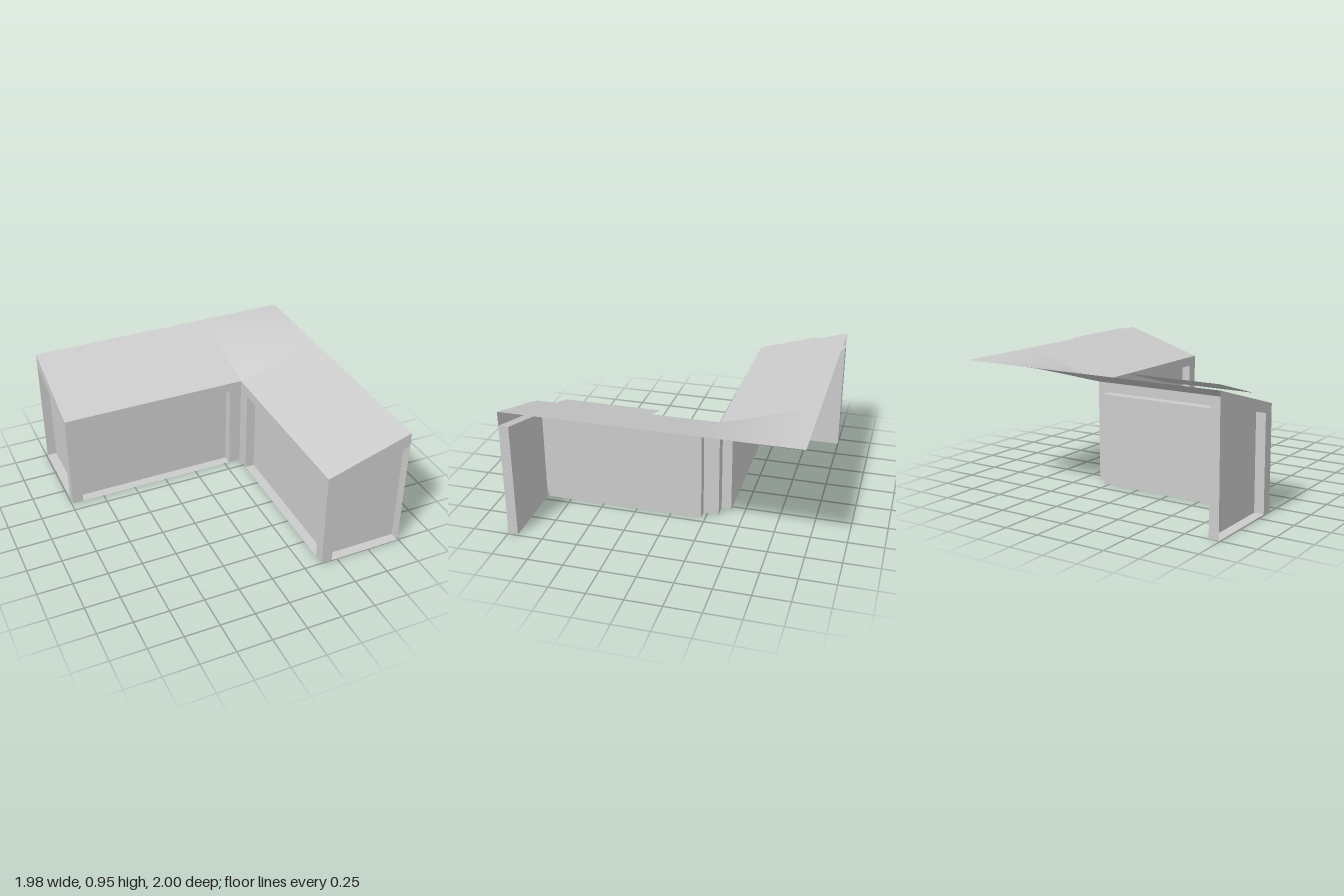
import * as THREE from 'three';

const X0 = -0.99, X1 = 0.99, Z0 = -1, Z1 = 1; // outer extents
const IX = 0.38, IZ = -0.33;                  // inner corner of the L
const LOW = 0.725, HIGH = 0.92, DEPTH = 0.07;
const mat = new THREE.MeshStandardMaterial({ color: 0xcccccc, side: THREE.DoubleSide });

function mesh(geometry, name) {
  const m = new THREE.Mesh(geometry, mat);
  m.name = name;
  return m;
}

const shapeOf = (pts) => new THREE.ShapeGeometry(new THREE.Shape(pts.map(([x, y]) => new THREE.Vector2(x, y))));

// Wall sheet with an opening down to the floor, and a shallow recess behind it.
// frame: outline of the wall face, opening: the four corners of the recess.
function recessedWall(name, frame, opening) {
  const g = new THREE.Group();
  g.name = name;
  g.add(mesh(shapeOf(frame), name + 'Frame'));
  const back = mesh(shapeOf(opening), name + 'Panel');
  back.position.z = -DEPTH;
  g.add(back);
  opening.forEach(([x, y], i) => {
    const [u, v] = opening[(i + 1) % opening.length];
    const reveal = mesh(new THREE.PlaneGeometry(Math.hypot(u - x, v - y), DEPTH).rotateX(Math.PI / 2), name + 'Reveal');
    reveal.position.set((x + u) / 2, (y + v) / 2, -DEPTH / 2);
    reveal.rotation.z = Math.atan2(v - y, u - x);
    g.add(reveal);
  });
  return g;
}

// Long wall with a level top
function longWall(name, a, b, o0, o1) {
  const h = 0.655;
  return recessedWall(name,
    [[a, 0], [o0, 0], [o0, h], [o1, h], [o1, 0], [b, 0], [b, LOW], [a, LOW]],
    [[o0, 0], [o1, 0], [o1, h], [o0, h]]);
}

// End wall with a top that rises from the inner side to the outer side
function endWall(name, inner, post, outer) {
  return recessedWall(name,
    [[inner, 0], [post, 0], [post, 0.675], [outer, 0.82], [outer, HIGH], [inner, LOW]],
    [[post, 0], [outer, 0], [outer, 0.82], [post, 0.675]]);
}

// Roof height: each wing slopes up to its outer edge, blended at the corner
function roofY(x, z) {
  const u = Math.max(0, (x - IX) / (X1 - IX));
  const v = Math.max(0, (IZ - z) / (IZ - Z0));
  return LOW + (HIGH - LOW) * (u + v - u * v);
}

// Sheet that follows the roof at a given lift
function roofPatch(name, x0, x1, z0, z1, n = 1, lift = 0) {
  const geo = new THREE.PlaneGeometry(x1 - x0, z1 - z0, n, n).rotateX(-Math.PI / 2);
  geo.translate((x0 + x1) / 2, 0, (z0 + z1) / 2);
  const p = geo.attributes.position;
  for (let i = 0; i < p.count; i++) p.setY(i, roofY(p.getX(i), p.getZ(i)) + lift);
  geo.computeVertexNormals();
  return mesh(geo, name);
}

export function createModel() {
  const model = new THREE.Group();
  model.name = 'cornerBuilding';

  // Walls facing the front
  const backWall = longWall('backWingWall', X0, IX, -0.91, 0.29);
  backWall.position.z = IZ;
  const frontEnd = endWall('sideWingEnd', IX, 0.46, X1);
  frontEnd.position.z = Z1;

  // Walls facing -x (local x runs along world z)
  const sideWall = longWall('sideWingWall', IZ, Z1, -0.22, 0.92);
  sideWall.position.x = IX;
  const sideEnd = endWall('backWingEnd', IZ, -0.41, Z0);
  sideEnd.position.x = X0;
  for (const w of [sideWall, sideEnd]) w.rotation.y = -Math.PI / 2;
  model.add(backWall, frontEnd, sideWall, sideEnd);

  // Roof
  model.add(
    roofPatch('backWingRoof', X0, IX, Z0, IZ),
    roofPatch('sideWingRoof', IX, X1, IZ, Z1),
    roofPatch('cornerRoof', IX, X1, Z0, IZ, 12));

  // Thin panels floating above the roof
  model.add(
    roofPatch('backRoofPanel', -0.88, -0.2, -0.8, -0.37, 1, 0.05),
    roofPatch('sideRoofPanel', 0.48, 0.91, 0.06, 0.73, 1, 0.055));

  return model;
}
